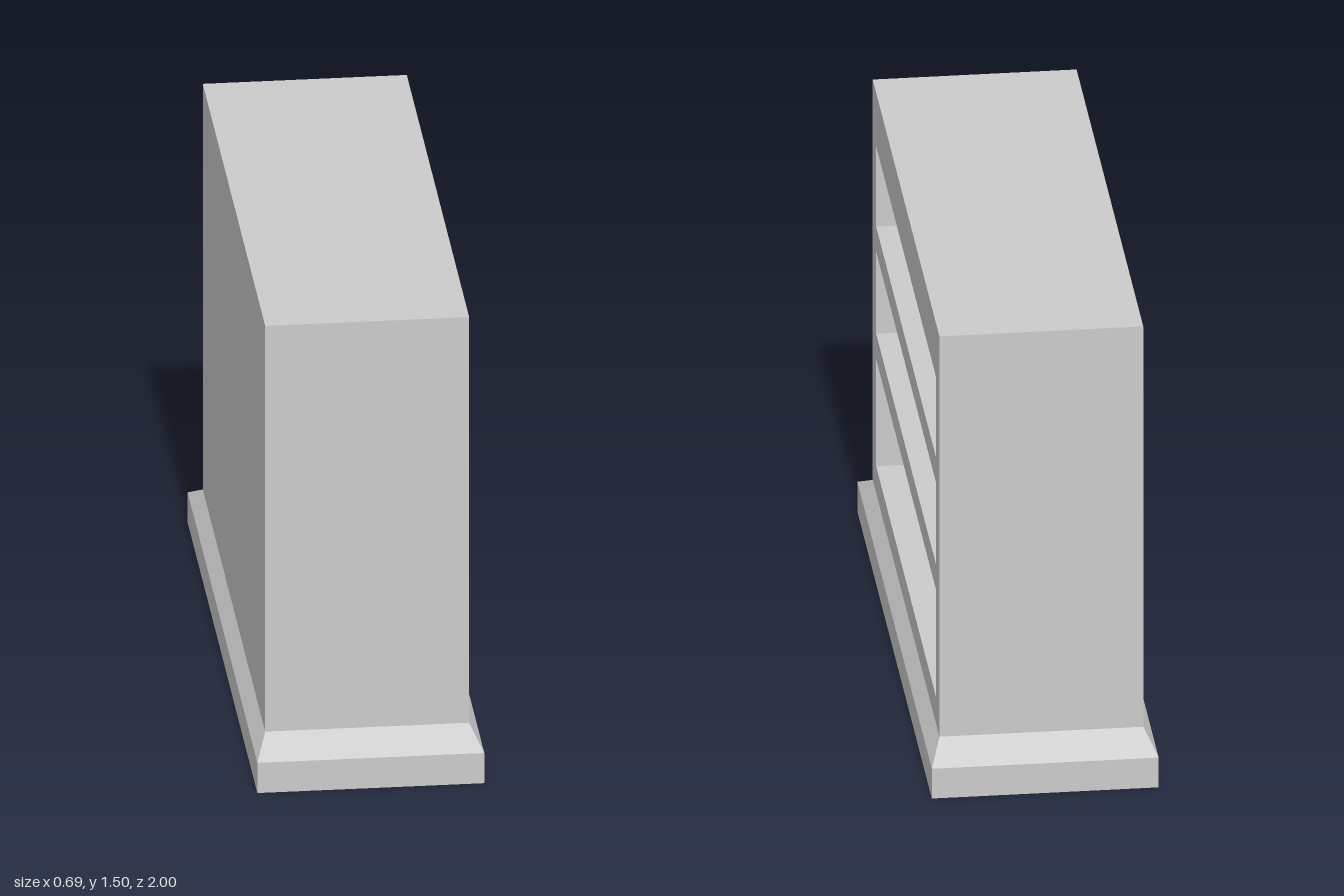
import * as THREE from 'three';

const material = new THREE.MeshStandardMaterial({ color: 0xcccccc, flatShading: true });

const HALF_X = 0.31, HALF_Z = 0.895, TOP = 1.5, PLINTH_TOP = 0.155;
const BACK = 0.09; // thickness of the closed back

function addMesh(group, name, geometry) {
  const mesh = new THREE.Mesh(geometry, material);
  mesh.name = name;
  group.add(mesh);
  return mesh;
}

function traceRect(path, halfWidth, y0, y1) {
  path.moveTo(-halfWidth, y0);
  path.lineTo(halfWidth, y0);
  path.lineTo(halfWidth, y1);
  path.lineTo(-halfWidth, y1);
  path.closePath();
  return path;
}

// Plinth: a box in two tiers whose upper tier slopes in to the cabinet
function plinthGeometry() {
  const tiers = [[0, 0.345, 1], [0.1, 0.345, 1], [PLINTH_TOP, HALF_X, HALF_Z]];
  const box = new THREE.BoxGeometry(2, 2, 2, 1, 2, 1);
  const pos = box.attributes.position;
  for (let i = 0; i < pos.count; i++) {
    const [y, hx, hz] = tiers[Math.round(pos.getY(i)) + 1];
    pos.setXYZ(i, pos.getX(i) * hx, y, pos.getZ(i) * hz);
  }
  const flat = box.toNonIndexed();
  flat.computeVertexNormals();
  return flat;
}

export function createModel() {
  const model = new THREE.Group();
  model.name = 'bookcase';

  addMesh(model, 'plinth', plinthGeometry());

  // Carcass with three shelf openings facing +x
  const outline = traceRect(new THREE.Shape(), HALF_Z, PLINTH_TOP, TOP);
  for (const [y0, y1] of [[0.245, 0.605], [0.69, 0.965], [1.05, 1.32]]) {
    outline.holes.push(traceRect(new THREE.Path(), 0.803, y0, y1));
  }
  const carcass = new THREE.ExtrudeGeometry(outline, { depth: 2 * HALF_X - BACK, bevelEnabled: false });
  carcass.rotateY(Math.PI / 2).translate(-HALF_X + BACK, 0, 0);
  addMesh(model, 'shelfCarcass', carcass);

  // Solid back closing the shelves
  const back = new THREE.BoxGeometry(BACK, TOP - PLINTH_TOP, 2 * HALF_Z);
  back.translate(-HALF_X + BACK / 2, (TOP + PLINTH_TOP) / 2, 0);
  addMesh(model, 'backPanel', back);

  return model;
}
